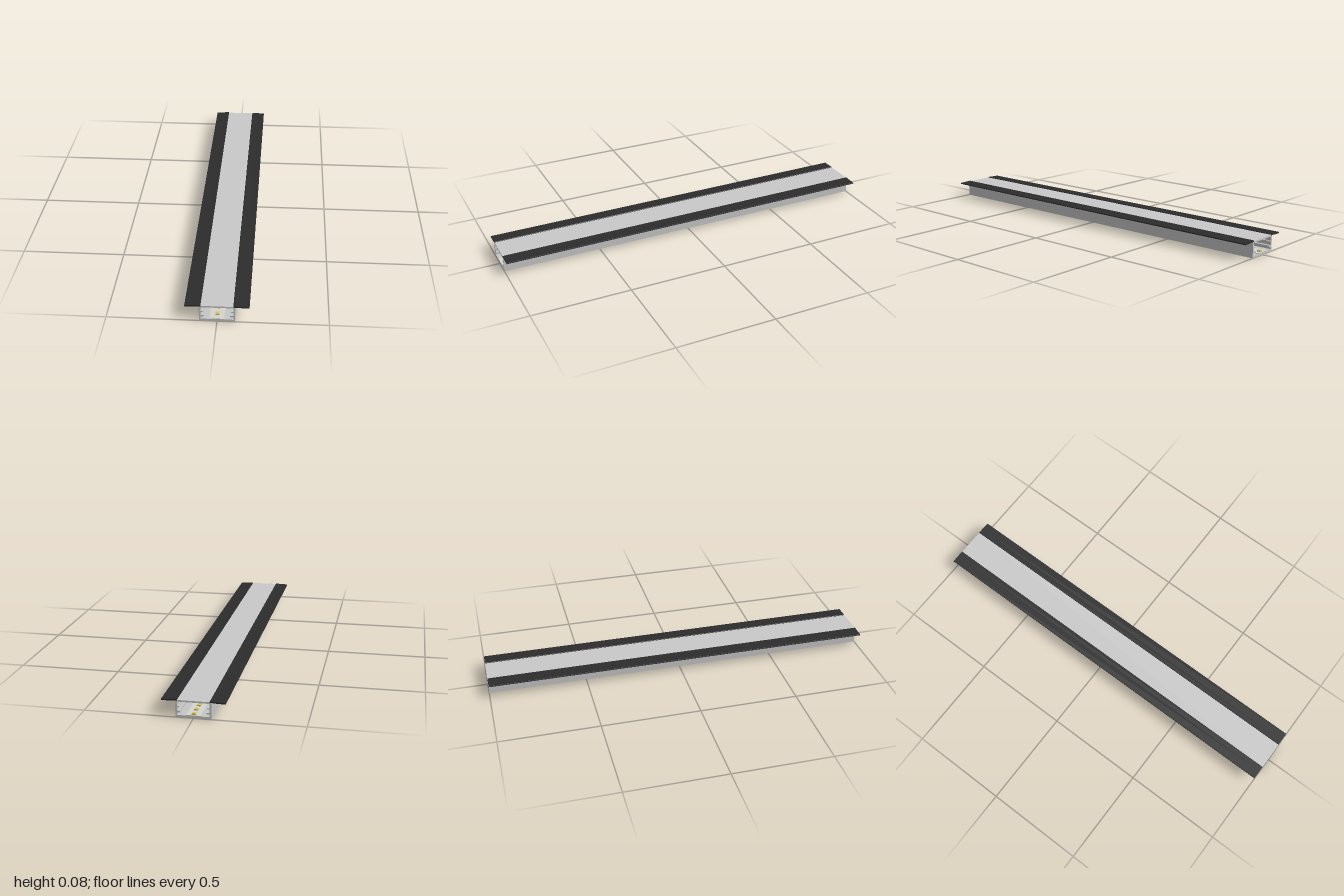
import * as THREE from 'three';

const LENGTH = 2;

export function createModel() {
  const mat = (name, color) => {
    const m = new THREE.MeshStandardMaterial({ color });
    m.name = name;
    return m;
  };
  const aluminium = mat('aluminium', 0xc6c6c6);
  const diffuserGrey = mat('diffuserGrey', 0xc9c9c9);
  const black = mat('black', 0x2c2c2c);
  const board = mat('board', 0xd6d6d0);
  const yellow = mat('yellow', 0xd6c05a);

  const group = new THREE.Group();
  group.name = 'recessedLightBar';
  const add = (name, geometry, material, x = 0, y = 0, z = 0) => {
    const mesh = new THREE.Mesh(geometry, material);
    mesh.name = name;
    mesh.position.set(x, y, z);
    group.add(mesh);
    return mesh;
  };

  // Extrudes an xy cross-section along the whole bar
  const profile = (points) => {
    const shape = new THREE.Shape(points.map(([x, y]) => new THREE.Vector2(x, y)));
    return new THREE.ExtrudeGeometry(shape, { depth: LENGTH, bevelEnabled: false })
      .translate(0, 0, -LENGTH / 2);
  };

  // U-shaped channel with two inner ribs on each wall
  const half = [
    [0.081, 0], [0.081, 0.078], [0.073, 0.078],
    [0.073, 0.053], [0.063, 0.053], [0.063, 0.048], [0.073, 0.048],
    [0.073, 0.031], [0.059, 0.031], [0.059, 0.023], [0.073, 0.023],
    [0.073, 0.011],
  ];
  const mirror = (pts) => pts.map(([x, y]) => [-x, y]).reverse();
  add('channel', profile([...half, ...mirror(half)]), aluminium);

  // Flat cover between the flanges
  add('diffuser', new THREE.BoxGeometry(0.146, 0.008, LENGTH), diffuserGrey, 0, 0.0775, 0);

  // Slightly drooping side flanges with softened edges
  const flange = [
    [0.073, 0.0795], [0.075, 0.078], [0.098, 0.078], [0.1, 0.077], [0.143, 0.0757],
    [0.145, 0.077], [0.145, 0.081], [0.143, 0.082], [0.1, 0.0835],
    [0.075, 0.0848], [0.073, 0.083],
  ];
  add('leftFlange', profile(flange), black);
  add('rightFlange', profile(mirror(flange)), black);

  // Light strip lying on the channel floor
  add('stripBoard', new THREE.BoxGeometry(0.066, 0.003, LENGTH), board, 0, 0.0125, 0);
  const chip = new THREE.BoxGeometry(0.018, 0.006, 0.018);
  for (let i = 0; i < 40; i++) {
    add('lightChip', chip, yellow, 0, 0.017, -0.985 + i * 0.05);
  }
  return group;
}
